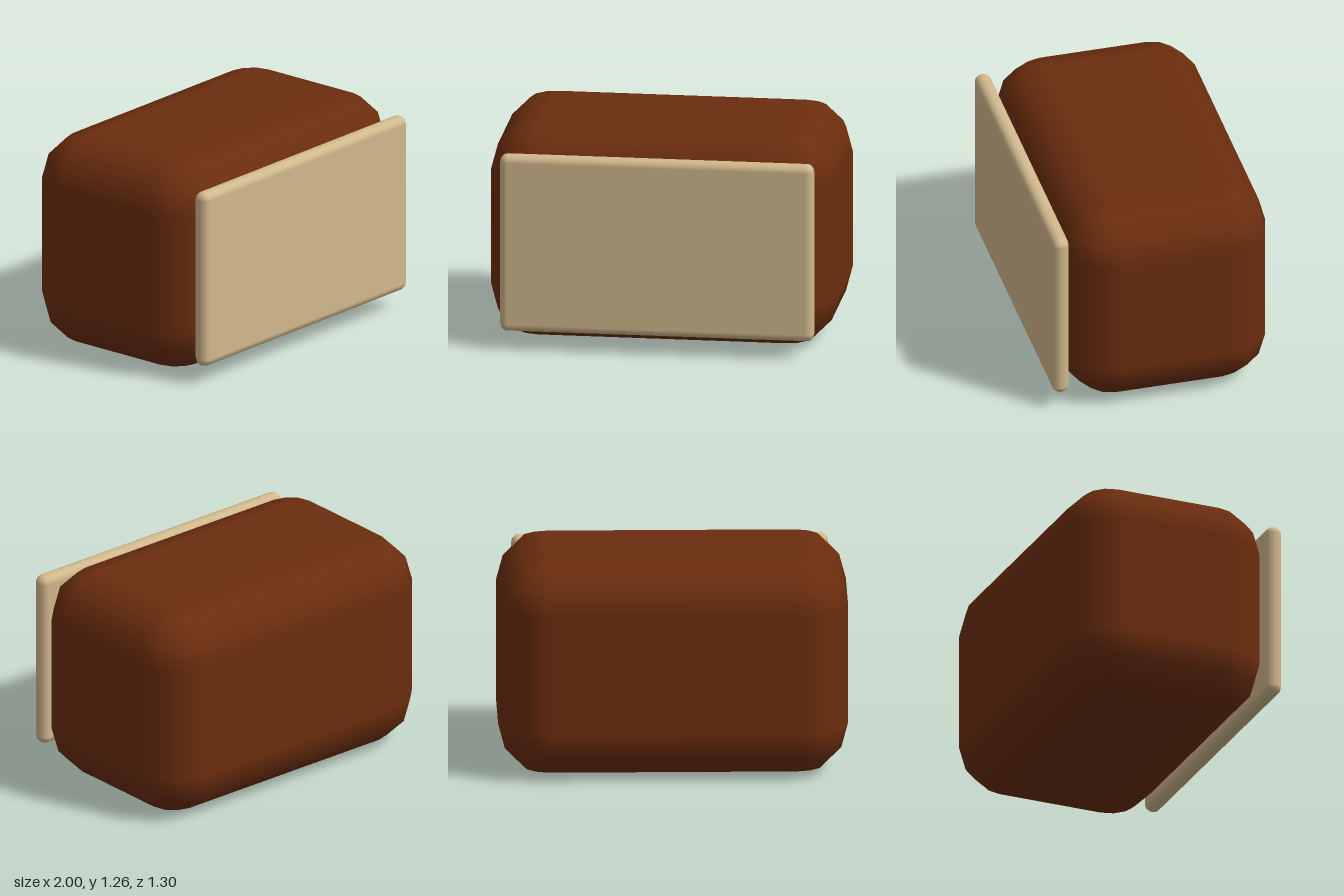
import * as THREE from 'three';

// Box with every edge rounded by equal arc steps: a sphere pulled apart into
// eight corner patches, with its doubled grid lines becoming the flat sides.
function roundedBlock(width, height, depth, radius, steps) {
  const perCorner = steps + 1;
  const around = perCorner * 4;
  const geometry = new THREE.SphereGeometry(1, around, perCorner * 2 + 1);
  const position = geometry.attributes.position;
  const normal = geometry.attributes.normal;
  const half = new THREE.Vector3(width, height, depth).multiplyScalar(0.5).subScalar(radius);
  const stepAngle = Math.PI / 2 / steps;
  const lastRow = perCorner * 2 + 1;

  for (let n = 0; n < position.count; n++) {
    const row = Math.floor(n / (around + 1));
    const column = (n % (around + 1)) % around;
    const quarter = Math.floor(column / perCorner);
    const u = quarter * Math.PI / 2 + (column % perCorner) * stepAngle;
    const upper = row <= perCorner;
    const pole = row === 0 || row === lastRow;
    const v = pole ? (row === 0 ? 0 : Math.PI)
      : (upper ? row - 1 : row - 2) * stepAngle;
    const nx = -Math.cos(u) * Math.sin(v);
    const ny = Math.cos(v);
    const nz = Math.sin(u) * Math.sin(v);
    const sx = pole ? 0 : (quarter === 1 || quarter === 2 ? 1 : -1);
    const sz = pole ? 0 : (quarter < 2 ? 1 : -1);
    position.setXYZ(n,
      sx * half.x + nx * radius,
      (upper ? 1 : -1) * half.y + ny * radius,
      sz * half.z + nz * radius);
    normal.setXYZ(n, nx, ny, nz);
  }
  return geometry;
}

export function createModel() {
  const brown = new THREE.MeshStandardMaterial({ color: 0x6b2d0e });
  brown.name = 'dark brown';
  const tan = new THREE.MeshStandardMaterial({ color: 0xd2b98d });
  tan.name = 'tan';

  const model = new THREE.Group();
  model.name = 'block with front panel';

  // Rounded main body
  const body = new THREE.Mesh(roundedBlock(2, 1.265, 1.21, 0.29, 3), brown);
  body.name = 'body';
  body.position.set(0, 0.6325, -0.045);

  // Thin panel against the front of the body
  const panel = new THREE.Mesh(roundedBlock(1.81, 1.05, 0.098, 0.046, 3), tan);
  panel.name = 'frontPanel';
  panel.position.set(0, 0.635, 0.601);

  model.add(body, panel);
  return model;
}
